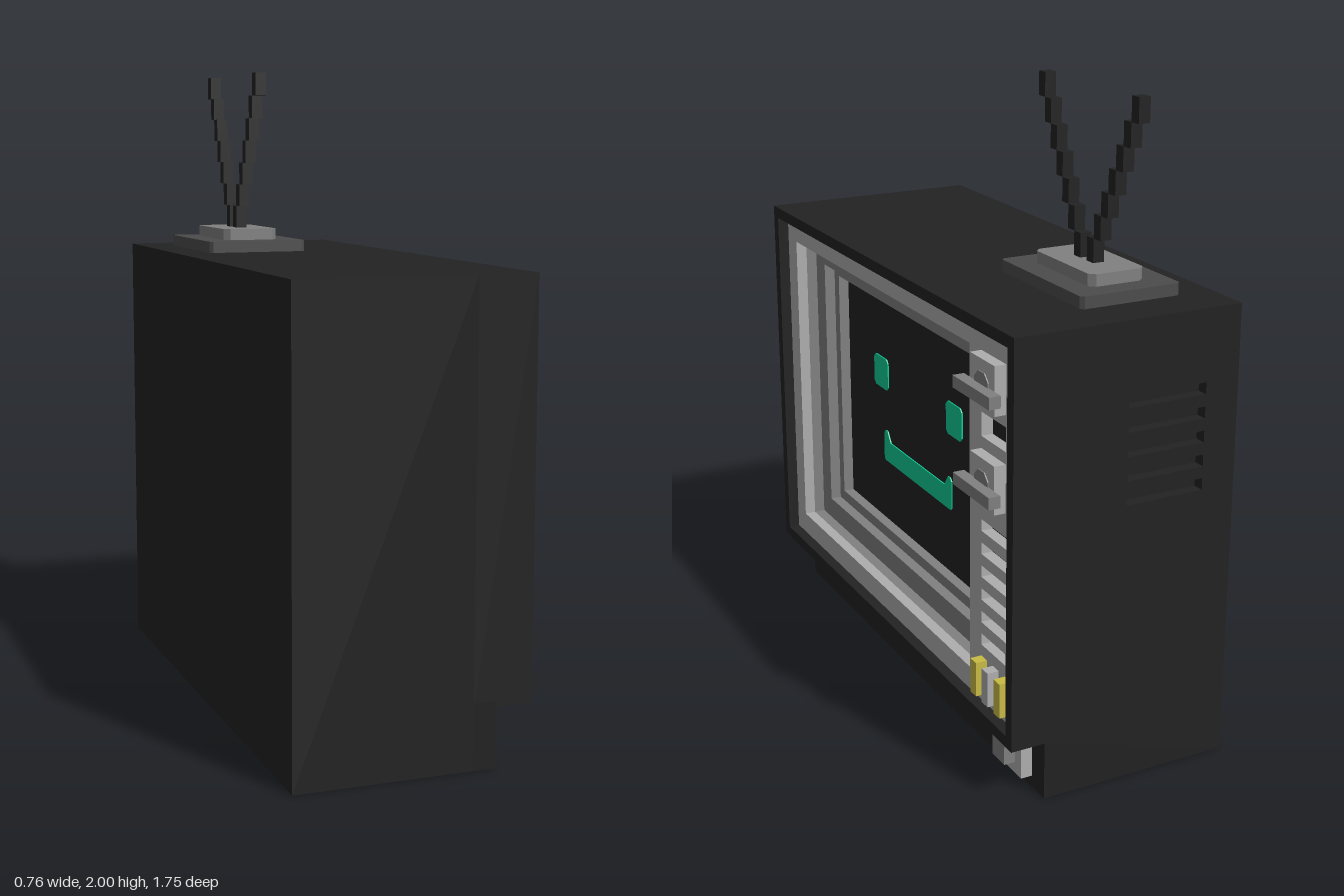
import * as THREE from 'three';

const U = 2 / 55; // one modelling block
const mat = (name, color) => Object.assign(new THREE.MeshStandardMaterial({ color }), { name });

export function createModel() {
  const root = new THREE.Group();
  root.name = 'retroTelevision';
  const black = mat('black', 0x222222);
  const charcoal = mat('charcoal', 0x4c4c4c);
  const grey = mat('grey', 0x808080);
  const light = mat('lightGrey', 0xaeaeae);
  const yellow = mat('yellow', 0xc8bb45);
  const green = mat('green', 0x10cc94);

  // Geometry is laid out in blocks: x 0..21 back to screen side, y up, z -24..24
  const add = (name, geo, material) => {
    geo.translate(-10.5, 0, 0).scale(U, U, U);
    const mesh = new THREE.Mesh(geo, material);
    mesh.name = name;
    root.add(mesh);
  };
  const box = (name, m, x0, x1, y0, y1, z0, z1) =>
    add(name, new THREE.BoxGeometry(x1 - x0, y1 - y0, z1 - z0)
      .translate((x0 + x1) / 2, (y0 + y1) / 2, (z0 + z1) / 2), m);
  const pts = (list) => list.map(([a, b]) => new THREE.Vector2(a, b));
  // Rectangle corners, optionally with cut corners
  const rect = (a0, a1, b0, b1, c = 0) => c
    ? [[a0 + c, b0], [a1 - c, b0], [a1, b0 + c], [a1, b1 - c], [a1 - c, b1], [a0 + c, b1], [a0, b1 - c], [a0, b0 + c]]
    : [[a0, b0], [a1, b0], [a1, b1], [a0, b1]];
  const extrude = (outline, holes, depth) => {
    const shape = new THREE.Shape(pts(outline));
    holes.forEach((h) => shape.holes.push(new THREE.Path(pts(h))));
    return new THREE.ExtrudeGeometry(shape, { depth, bevelEnabled: false });
  };
  // Plate facing +x; outline is drawn in (-z, y)
  const plate = (name, m, x0, x1, outline, holes = []) =>
    add(name, extrude(outline, holes, x1 - x0).rotateY(Math.PI / 2).translate(x0, 0, 0), m);

  // Cabinet: core, base, screen rim and vented side wall
  box('cabinetCore', black, 0, 15, 0, 39, -23, 24);
  plate('screenRim', black, 15, 20, rect(-24, 24, 5, 39), [rect(-23, 23, 6, 38)]);
  plate('baseFront', black, 15, 17, rect(-24, 24, 0, 5.5), [rect(-18, -2, 3, 5, 0.3)]);
  const vents = [0, 1, 2, 3, 4].map((i) => rect(3, 10, 24 + i * 2, 25 + i * 2));
  add('ventedSide', extrude([[0, 0], [17, 0], [17, 5], [20, 5], [20, 39], [0, 39]], vents, 1)
    .translate(0, 0, -24), black);

  // Recessed drawer in the base
  box('drawerEndLeft', light, 14.5, 16, 2.8, 5.2, 12, 18.2);
  box('drawerEndRight', light, 14.5, 16, 2.8, 5.2, 1.8, 7);
  box('drawerPull', grey, 14.5, 15.1, 2.8, 5.2, 7, 12);

  // Front panel with screen opening, grille slots and channel window
  const screenHole = rect(-21, 15, 8, 36);
  const slots = [0, 1, 2, 3, 4, 5].map((i) => rect(17, 23, 11 + i * 2, 12 + i * 2));
  plate('frontPanel', light, 18, 19, rect(-23.5, 23.5, 5.5, 38.5),
    [screenHole, rect(17, 21, 29, 31), ...slots]);
  box('panelBacking', black, 15, 18, 9, 33, -23.2, -16);

  // Stepped screen surround
  plate('surroundOuter', grey, 17, 18, rect(-23, 15.9, 6.5, 37.5), [screenHole]);
  plate('surroundMiddle', grey, 16, 17, rect(-22, 15.9, 7, 37), [rect(-19, 13, 10, 34)]);
  plate('surroundInner', grey, 15, 16, rect(-22, 15.9, 7, 37), [rect(-18, 12, 11, 33)]);
  box('screen', black, 14.8, 15.03, 10.5, 33.5, -12.5, 18.5);

  // Face on the screen
  for (const a of [-12, 3]) plate('eye', green, 15.03, 15.15, rect(a, a + 3, 24, 27, 0.35));
  plate('mouth', green, 15.03, 15.15, [
    [-9.8, 17], [3.8, 17], [4, 17.2], [4, 19.7], [3.7, 20], [3.3, 20], [2.6, 19],
    [-8.6, 19], [-9.3, 20], [-9.7, 20], [-10, 19.7], [-10, 17.2]]);

  // Two dials
  for (const y of [24, 32]) {
    box('dialPlate', light, 19, 20, y, y + 4, -21, -17);
    plate('dialKnob', grey, 20, 20.1,
      [[17.9, y + 1], [20.1, y + 1], [20.1, y + 2.4], [19.5, y + 3], [18.5, y + 3], [17.9, y + 2.4]]);
    box('dialHandle', grey, 20, 21, y + 1, y + 2, -22, -16);
  }

  // Push buttons
  [yellow, light, yellow].forEach((m, i) =>
    box('button', m, 19, 20, 7, 10, -18 - i * 2, -17 - i * 2));

  // Latch on the base
  box('latchPlate', light, 17, 18, 1, 5, -22, -18);
  box('latchGrip', grey, 18, 19, 2, 5, -21, -19);

  // Aerial foot: two stacked slabs with cut corners, outlines in (x, -z)
  const slab = (name, m, y, outline) =>
    add(name, extrude(outline, [], 1).rotateX(-Math.PI / 2).translate(0, y, 0), m);
  slab('aerialFoot', charcoal, 39, rect(3, 12, 7, 20, 0.3));
  slab('aerialSocket', grey, 40, rect(5, 10, 9, 18, 0.5));

  // Two stepped aerial rods leaning apart
  for (const side of [-1, 1]) {
    for (let i = 0; i < 7; i++) {
      const z = -13.5 + side * (1 + i);
      box('aerialRod', black, 7, 8, 41 + i * 2, 43 + i * 2, z - 0.5, z + 0.5);
    }
  }
  return root;
}
